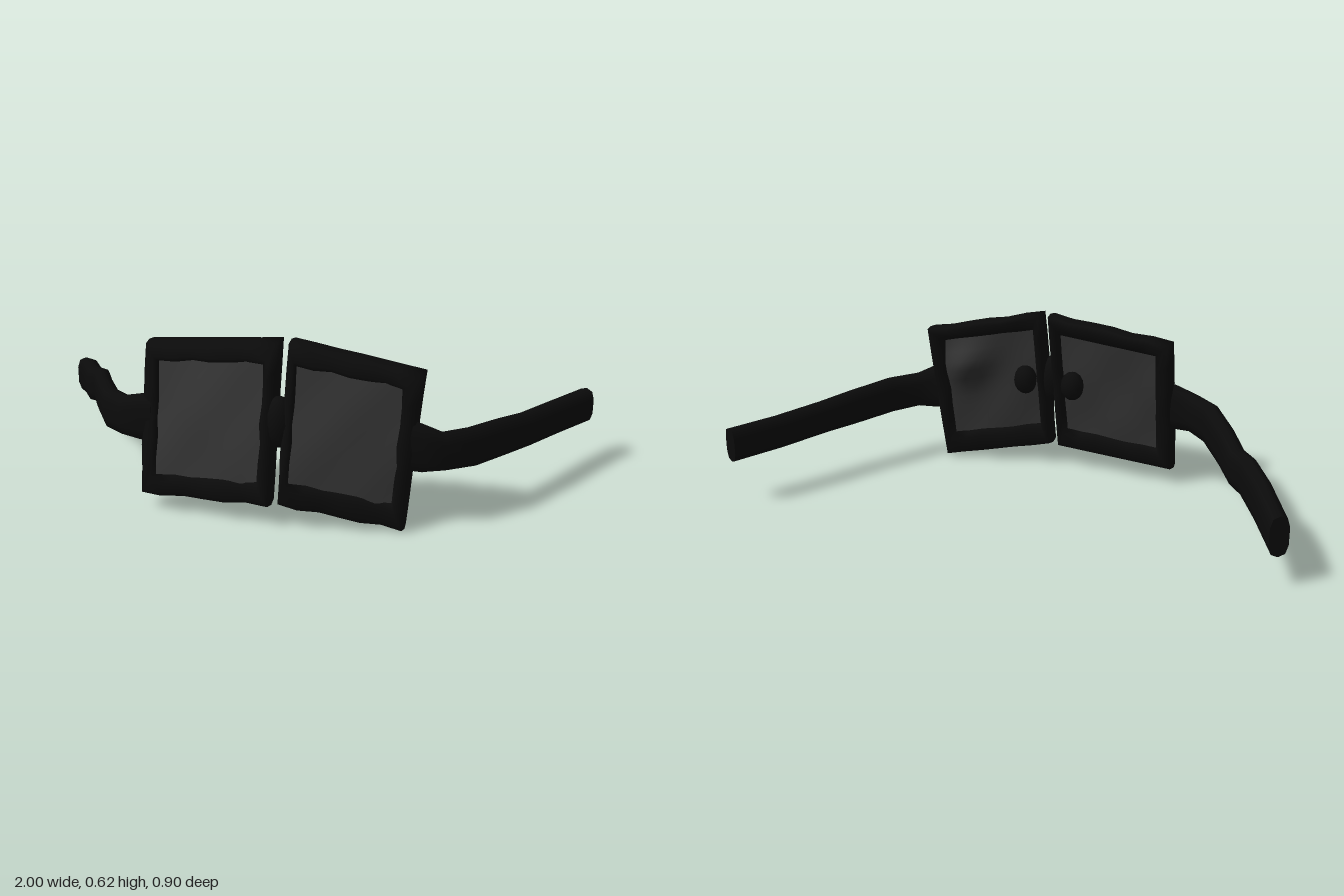
import * as THREE from 'three';

const frameMat = new THREE.MeshStandardMaterial({ color: 0x0b0b0b });
frameMat.name = 'black frame';
const lensMat = new THREE.MeshStandardMaterial({ color: 0x363636 });
lensMat.name = 'dark grey lens';

// Joins equal-sized rings of points, each running counter-clockwise about the path
function loft(rings, closed) {
  const n = rings[0].length, m = rings.length;
  const pos = rings.flat().flatMap((p) => p.toArray()), index = [];
  for (let i = 0; i < (closed ? m : m - 1); i++) {
    for (let j = 0; j < n; j++) {
      const a = i * n + j, b = i * n + (j + 1) % n, k = ((i + 1) % m) * n;
      const c = k + (j + 1) % n, d = k + j;
      index.push(a, b, c, a, c, d);
    }
  }
  if (!closed) {
    [0, m - 1].forEach((r) => {
      const base = pos.length / 3;
      rings[r].forEach((p) => pos.push(...p.toArray()));
      for (let j = 1; j < n - 1; j++) {
        index.push(base, base + (r ? j : j + 1), base + (r ? j + 1 : j));
      }
    });
  }
  const g = new THREE.BufferGeometry();
  g.setAttribute('position', new THREE.Float32BufferAttribute(pos, 3));
  g.setIndex(index);
  g.computeVertexNormals();
  return g;
}

// Rounded-square section with half extents e1 and e2
function section(c, e1, e2, sides = 10) {
  const soft = (v) => Math.sign(v) * Math.pow(Math.abs(v), 0.7);
  return Array.from({ length: sides }, (_, j) => {
    const t = (j / sides) * Math.PI * 2;
    return c.clone().addScaledVector(e1, soft(Math.cos(t))).addScaledVector(e2, soft(Math.sin(t)));
  });
}

function add(group, name, geometry, material) {
  const mesh = new THREE.Mesh(geometry, material);
  mesh.name = name;
  group.add(mesh);
  return mesh;
}

const V = (p) => new THREE.Vector3(...p);

// Rim around one lens; corners run top-left, top-right, bottom-right, bottom-left
function rim(outer, inner, depth) {
  const rings = [], steps = 6;
  for (let s = 0; s < 4; s++) {
    for (let k = 0; k < steps; k++) {
      const t = k / steps, w = Math.sin((s * steps + k) * 2.3) * 0.005;
      const o = V(outer[s]).lerp(V(outer[(s + 1) % 4]), t);
      const i = V(inner[s]).lerp(V(inner[(s + 1) % 4]), t);
      const mid = o.clone().add(i).multiplyScalar(0.5);
      mid.z += w;
      const e1 = o.sub(i).multiplyScalar(0.5);
      e1.setLength(e1.length() + w * 0.6);
      rings.push(section(mid, e1, new THREE.Vector3(0, 0, depth / 2)));
    }
  }
  return loft(rings, true);
}

// Uneven lens slab stretched between the four corners
function lens(corners, bump) {
  const g = new THREE.BoxGeometry(1, 1, 1, 12, 12, 1);
  const p = g.attributes.position;
  const [tl, tr, br, bl] = corners.map(V);
  for (let i = 0; i < p.count; i++) {
    const u = p.getX(i) + 0.5, v = p.getY(i) + 0.5, front = p.getZ(i) > 0;
    const q = bl.clone().lerp(br, u).lerp(tl.clone().lerp(tr, u), v);
    const dome = Math.sin(Math.PI * u) * Math.sin(Math.PI * v);
    const ripple = 0.004 * Math.sin(u * 9 + 1) * Math.sin(v * 8);
    const back = 0.022 + bump * Math.exp(-(((u - 0.72) / 0.2) ** 2) - ((v - 0.72) / 0.15) ** 2);
    q.z += front ? 0.032 + 0.014 * dome + ripple : -back + ripple;
    p.setXYZ(i, q.x, q.y, q.z);
  }
  g.computeVertexNormals();
  return g;
}

// Temple arm from [x, z, yLow, yHigh] stations
function arm(stations) {
  const pts = stations.map(([x, z, lo, hi]) => new THREE.Vector3(x, (lo + hi) / 2, z));
  const rings = pts.map((c, i) => {
    const t = pts[Math.min(i + 1, pts.length - 1)].clone().sub(pts[Math.max(i - 1, 0)]);
    t.y = 0;
    t.normalize();
    const half = (stations[i][3] - stations[i][2]) / 2;
    const side = new THREE.Vector3(-t.z, 0, t.x).multiplyScalar(0.034);
    return section(c, new THREE.Vector3(0, half, 0), side);
  });
  return loft(rings, false);
}

export function createModel() {
  const model = new THREE.Group();
  model.name = 'glasses';

  const sides = [
    {
      name: 'right',
      outer: [[-0.42, 0.565, 0.295], [0.05, 0.615, 0.3], [0.045, 0.07, 0.4], [-0.42, 0.05, 0.39]],
      inner: [[-0.36, 0.51, 0.32], [0.005, 0.54, 0.325], [0.0, 0.155, 0.39], [-0.355, 0.135, 0.385]],
      pad: [-0.04, 0.35, 0.3],
      bump: 0,
      arm: [
        [-0.38, 0.36, 0.23, 0.4], [-0.43, 0.355, 0.22, 0.39], [-0.5, 0.34, 0.225, 0.37],
        [-0.58, 0.28, 0.215, 0.365], [-0.68, 0.13, 0.2, 0.345], [-0.75, 0.01, 0.19, 0.325],
        [-0.8, -0.03, 0.175, 0.315], [-0.88, -0.15, 0.15, 0.295], [-0.97, -0.285, 0.105, 0.245],
      ],
    },
    {
      name: 'left',
      outer: [[0.085, 0.62, 0.305], [0.515, 0.53, 0.235], [0.475, 0.0, 0.3], [0.07, 0.075, 0.39]],
      inner: [[0.12, 0.545, 0.33], [0.45, 0.485, 0.26], [0.435, 0.105, 0.3], [0.11, 0.165, 0.385]],
      pad: [0.15, 0.35, 0.3],
      bump: 0.045,
      arm: [
        [0.46, 0.28, 0.2, 0.385], [0.52, 0.27, 0.195, 0.365], [0.58, 0.245, 0.2, 0.335],
        [0.66, 0.16, 0.19, 0.33], [0.74, 0.01, 0.18, 0.315], [0.8, -0.1, 0.175, 0.3],
        [0.88, -0.27, 0.165, 0.29], [0.97, -0.44, 0.158, 0.285],
      ],
    },
  ];

  for (const s of sides) {
    add(model, s.name + 'Rim', rim(s.outer, s.inner, 0.1), frameMat);
    const mids = s.outer.map((o, i) => o.map((v, k) => (v + s.inner[i][k]) / 2));
    add(model, s.name + 'Lens', lens(mids, s.bump), lensMat);
    add(model, s.name + 'Arm', arm(s.arm), frameMat);
    // Nose pad behind the lens
    const pad = add(model, s.name + 'NosePad', new THREE.SphereGeometry(1, 10, 8), frameMat);
    pad.scale.set(0.045, 0.055, 0.04);
    pad.position.set(...s.pad);
  }

  // Bridge between the rims
  const bridge = add(model, 'bridge', new THREE.SphereGeometry(1, 12, 8), frameMat);
  bridge.scale.set(0.05, 0.09, 0.05);
  bridge.position.set(0.06, 0.35, 0.36);

  return model;
}
